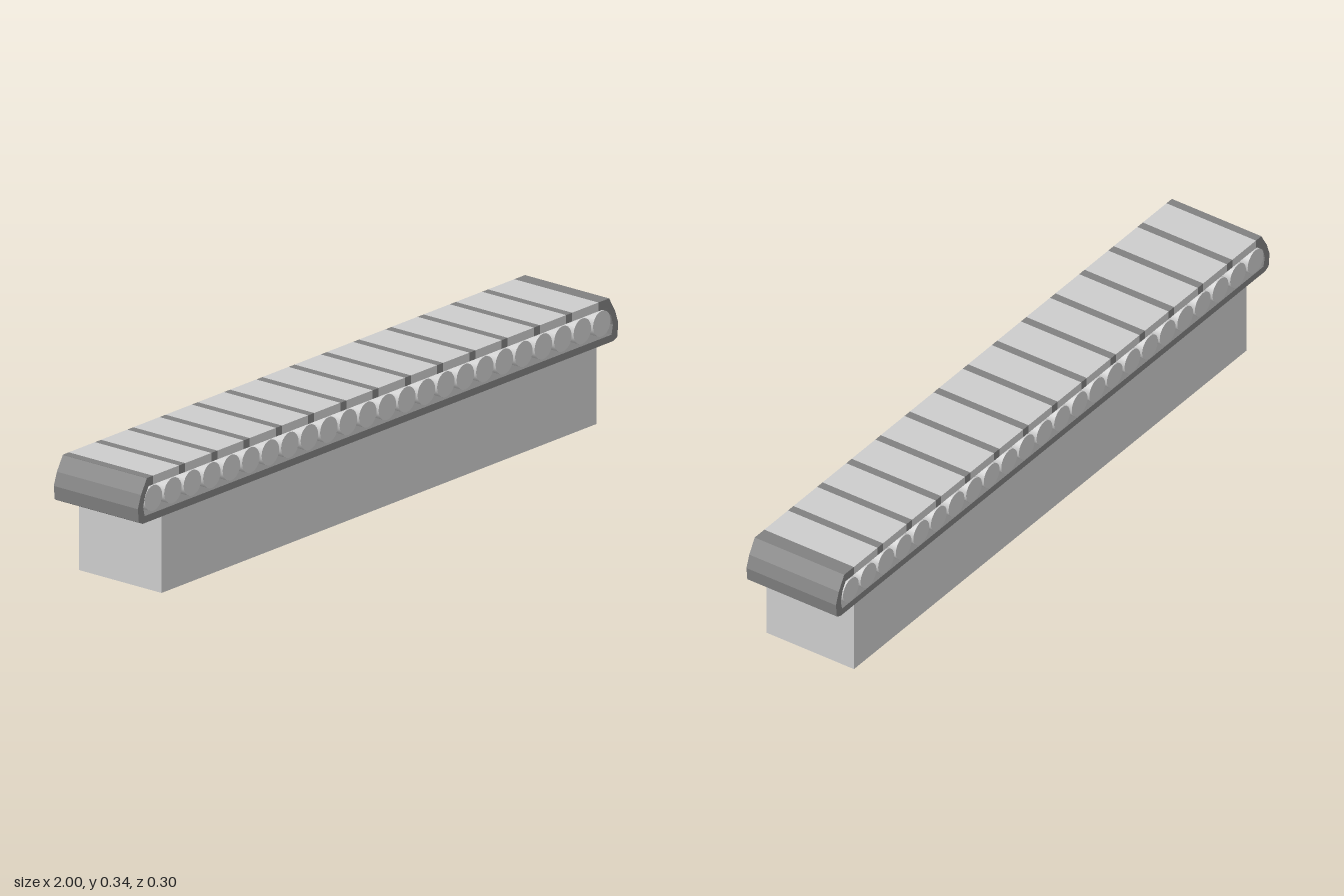
import * as THREE from 'three';

const BACK = -0.147, FRONT = 0.149;
const DEPTH = FRONT - BACK, MID = (FRONT + BACK) / 2;

export function createModel() {
  const model = new THREE.Group();
  model.name = 'conveyor';
  const light = new THREE.MeshStandardMaterial({ color: 0xcccccc, flatShading: true });
  const smooth = new THREE.MeshStandardMaterial({ color: 0xcccccc });
  const dark = new THREE.MeshStandardMaterial({ color: 0x808080, flatShading: true });

  function add(name, geometry, material, x, y, z) {
    const mesh = new THREE.Mesh(geometry, material);
    mesh.name = name;
    mesh.position.set(x, y, z);
    model.add(mesh);
    return mesh;
  }

  // Solid base block
  add('base', new THREE.BoxGeometry(1.81, 0.224, 0.29), light, 0.005, 0.112, 0.003);

  // Lower belt and faceted ends: one open band, mirrored from its right half
  const outer = [[0.94, 0.344], [0.962, 0.344], [0.987, 0.302], [1, 0.265], [0.996, 0.226], [0.98, 0.218]];
  const inner = [[0.972, 0.238], [0.978, 0.265], [0.97, 0.295], [0.955, 0.319], [0.94, 0.319]];
  const mirror = (pts) => pts.map(([x, y]) => [-x, y]).reverse();
  const outline = [...outer, ...mirror(outer), ...mirror(inner), ...inner];
  const band = new THREE.Shape(outline.map(([x, y]) => new THREE.Vector2(x, y)));
  add('beltBand', new THREE.ExtrudeGeometry(band, { depth: DEPTH, bevelEnabled: false }), dark, 0, 0, BACK);

  // Upper belt: wide light slats with narrow dark strips between them
  const slats = 14, pitch = 1.88 / slats, gap = 0.025;
  const topY = 0.3315, thick = 0.025;
  const slatGeo = new THREE.BoxGeometry(pitch - gap, thick, DEPTH);
  const stripGeo = new THREE.BoxGeometry(gap, thick, DEPTH);
  for (let i = 0; i <= slats; i++) {
    const x = -0.95 + i * pitch;
    add('beltStrip', stripGeo, dark, x, topY, MID);
    if (i < slats) add('beltSlat', slatGeo, light, x + pitch / 2, topY, MID);
  }

  // Row of rollers inside the belt
  const count = 24;
  const rollerGeo = new THREE.CylinderGeometry(0.0365, 0.0365, 0.296, 20).rotateX(Math.PI / 2);
  for (let i = 0; i < count; i++) {
    add('roller', rollerGeo, smooth, -0.933 + (i * 1.867) / (count - 1), 0.279, -0.001);
  }
  return model;
}
